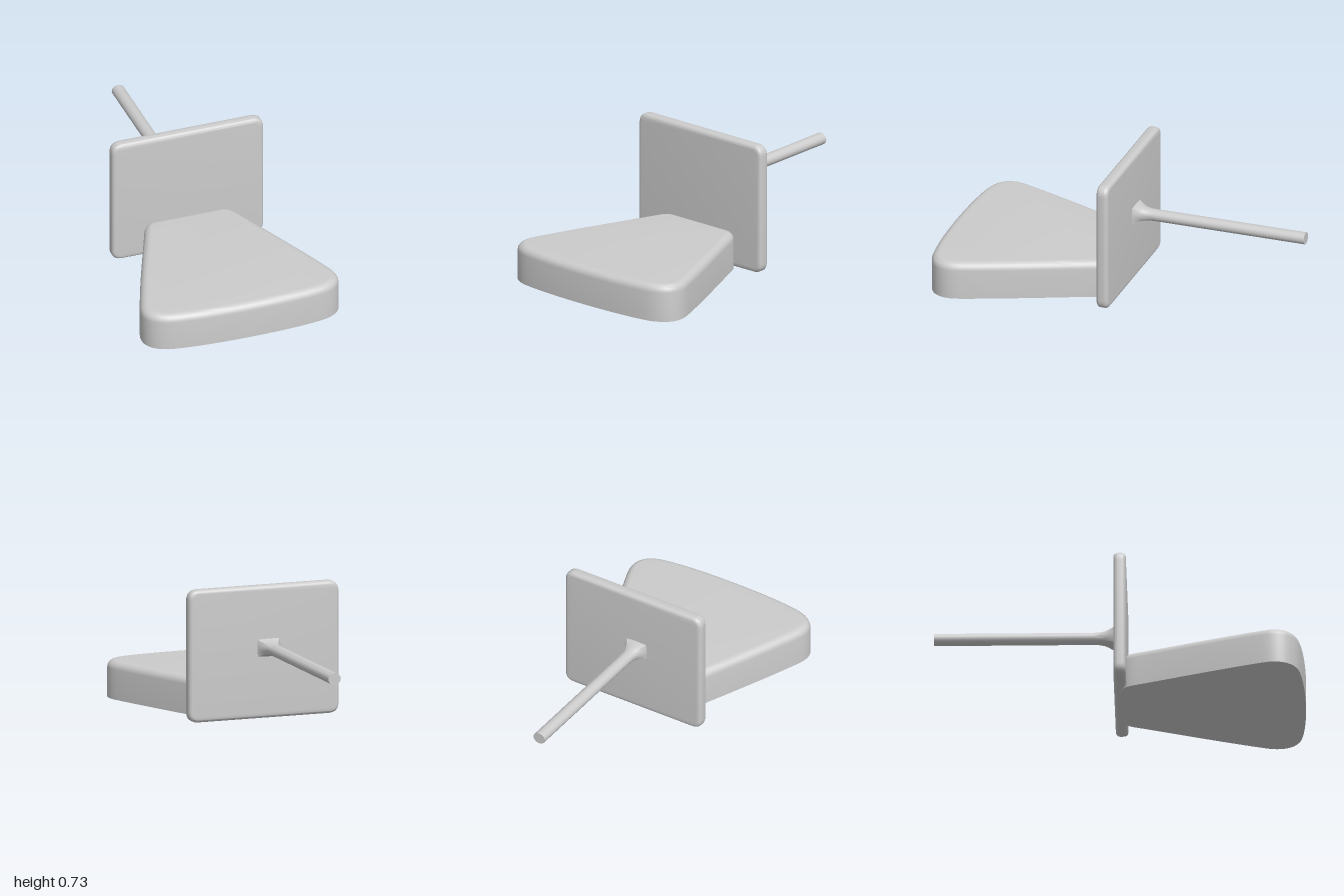
import * as THREE from 'three';
import { toCreasedNormals } from 'three/addons/utils/BufferGeometryUtils.js';

const material = new THREE.MeshStandardMaterial({ color: 0xcccccc });

function addPart(group, name, geometry, crease = 0.7) {
  const mesh = new THREE.Mesh(toCreasedNormals(geometry, crease), material);
  mesh.name = name;
  group.add(mesh);
  return mesh;
}

// Extrusion whose rounded edge stays inside the outline
function roundedSlab(shape, thickness, radius, curveSegments = 10) {
  return new THREE.ExtrudeGeometry(shape, {
    depth: thickness - 2 * radius, bevelThickness: radius, bevelSize: radius,
    bevelOffset: -radius, bevelSegments: 6, curveSegments,
  });
}

// Wedge-shaped seat: narrow at the back, wide and slightly bowed in front
function seatGeometry() {
  const s = new THREE.Shape();
  s.moveTo(-0.19, -0.01);
  s.lineTo(0.19, -0.01);
  s.bezierCurveTo(0.24, -0.01, 0.26, -0.05, 0.285, -0.12);
  s.bezierCurveTo(0.38, -0.35, 0.47, -0.56, 0.545, -0.77);
  s.bezierCurveTo(0.585, -0.88, 0.53, -0.95, 0.42, -0.97);
  s.bezierCurveTo(0.22, -1.005, -0.22, -1.005, -0.42, -0.97);
  s.bezierCurveTo(-0.53, -0.95, -0.585, -0.88, -0.545, -0.77);
  s.bezierCurveTo(-0.47, -0.56, -0.38, -0.35, -0.285, -0.12);
  s.bezierCurveTo(-0.26, -0.05, -0.24, -0.01, -0.19, -0.01);
  const radius = 0.042;
  const g = roundedSlab(s, 0.205 + radius, radius);
  g.rotateX(-Math.PI / 2);
  // Flatten the lower rounding into a sharp-edged base
  const p = g.attributes.position;
  for (let i = 0; i < p.count; i++) p.setY(i, Math.max(0, p.getY(i)));
  return g;
}

// Upright rounded rectangle
function backrestGeometry() {
  const w = 0.433, h = 0.728, r = 0.06;
  const s = new THREE.Shape();
  s.moveTo(-w + r, 0.004);
  s.lineTo(w - r, 0.004);
  s.quadraticCurveTo(w, 0.004, w, r);
  s.lineTo(w, h - r);
  s.quadraticCurveTo(w, h, w - r, h);
  s.lineTo(-w + r, h);
  s.quadraticCurveTo(-w, h, -w, h - r);
  s.lineTo(-w, r);
  s.quadraticCurveTo(-w, 0.004, -w + r, 0.004);
  const g = roundedSlab(s, 0.067, 0.022);
  g.translate(0, 0, -0.031 + 0.022);
  return g;
}

// Slim rod that flares to a squarish foot where it meets the backrest
function rodGeometry() {
  const zStart = -0.02, length = 0.98;
  const g = new THREE.CylinderGeometry(1, 1, length, 24, 49);
  g.rotateX(Math.PI / 2);
  g.translate(0, 0, zStart - length / 2);
  const p = g.attributes.position;
  for (let i = 0; i < p.count; i++) {
    const x = p.getX(i), y = p.getY(i), z = p.getZ(i);
    const flare = Math.max(0, 1 - (zStart - z) / 0.12) ** 2;
    const square = 1 / Math.max(Math.abs(x), Math.abs(y), 0.72);
    const k = Math.hypot(x, y) < 0.5 ? 1 : 1 + (square - 1) * flare;
    p.setX(i, -0.025 + x * k * (0.036 + 0.037 * flare));
    p.setY(i, 0.39 + y * k * (0.032 + 0.02 * flare));
  }
  return g;
}

export function createModel() {
  const model = new THREE.Group();
  model.name = 'seatWithBackrest';
  addPart(model, 'seat', seatGeometry());
  addPart(model, 'backrest', backrestGeometry());
  addPart(model, 'rod', rodGeometry());
  return model;
}
